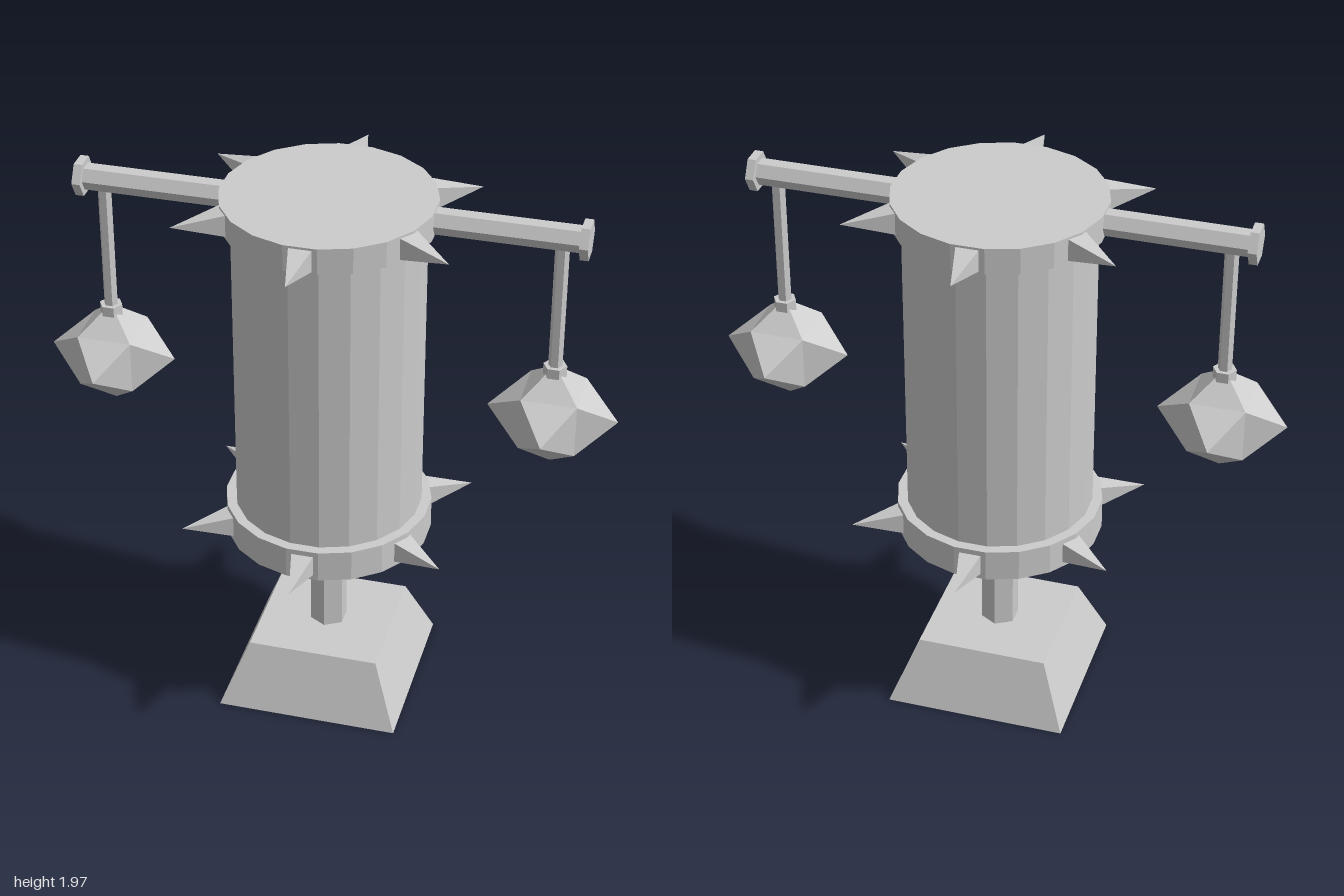
import * as THREE from 'three';

const material = new THREE.MeshStandardMaterial({ color: 0xcccccc, flatShading: true });

function add(parent, name, geometry, x = 0, y = 0, z = 0) {
  const mesh = new THREE.Mesh(geometry, material);
  mesh.name = name;
  mesh.position.set(x, y, z);
  parent.add(mesh);
  return mesh;
}

// Upright prism between two heights
function prism(parent, name, radius, y0, y1, sides, turn = 0, x = 0, topRadius = radius) {
  const g = new THREE.CylinderGeometry(topRadius, radius, y1 - y0, sides).rotateY(turn);
  return add(parent, name, g, x, (y0 + y1) / 2);
}

// Square pyramid pointing along +z, from z = start to z = tip
function spikeGeometry(half, start, tip) {
  return new THREE.ConeGeometry(half * Math.SQRT2, tip - start, 4)
    .rotateY(Math.PI / 4)
    .rotateX(Math.PI / 2)
    .translate(0, 0, (start + tip) / 2);
}

// Ball made of six broad pyramids around a cube core
function spikedBall() {
  const ball = new THREE.Group();
  ball.name = 'spikedBall';
  const core = 0.095;
  const side = spikeGeometry(core, core, 0.222);
  const end = spikeGeometry(core, core, 0.19);
  for (let i = 0; i < 4; i++) add(ball, 'ballSpike', side).rotation.y = i * Math.PI / 2;
  for (const s of [-1, 1]) add(ball, 'ballSpike', end).rotation.x = s * Math.PI / 2;
  return ball;
}

export function createModel() {
  const model = new THREE.Group();
  model.name = 'spikedDrumOnStand';

  // Stand
  prism(model, 'base', 0.322 * Math.SQRT2, 0, 0.23, 4, Math.PI / 4, 0, 0.232 * Math.SQRT2);
  prism(model, 'post', 0.067, 0.2, 0.68, 6);

  // Drum with a hoop at each end
  prism(model, 'drum', 0.327, 0.67, 1.95, 20, Math.PI / 20);
  for (const [name, y0, y1] of [['lowerHoop', 0.66, 0.775], ['upperHoop', 1.868, 1.96]]) {
    const hoop = new THREE.Group();
    hoop.name = name;
    model.add(hoop);
    prism(hoop, 'band', 0.362, y0, y1, 20, Math.PI / 20);
    const spike = spikeGeometry(0.042, 0.34, 0.53);
    for (let i = 0; i < 6; i++) {
      add(hoop, 'hoopSpike', spike, 0, (y0 + y1) / 2).rotation.y = i * Math.PI / 3;
    }
  }

  // Arms with hanging spiked balls, mirrored left and right
  for (const s of [-1, 1]) {
    const arm = new THREE.Group();
    arm.name = s > 0 ? 'leftArm' : 'rightArm';
    model.add(arm);
    const bar = new THREE.CylinderGeometry(0.045, 0.045, 0.55, 6).rotateZ(Math.PI / 2);
    add(arm, 'crossbar', bar, s * 0.57, 1.914);
    const cap = new THREE.CylinderGeometry(0.067, 0.067, 0.029, 6).rotateZ(Math.PI / 2);
    add(arm, 'barEnd', cap, s * 0.849, 1.914);
    prism(arm, 'hanger', 0.024, 1.4, 1.9, 6, Math.PI / 6, s * 0.773);
    prism(arm, 'collar', 0.04, 1.385, 1.432, 6, Math.PI / 6, s * 0.773);
    const ball = spikedBall();
    ball.position.set(s * 0.773, 1.24, 0);
    arm.add(ball);
  }
  return model;
}
